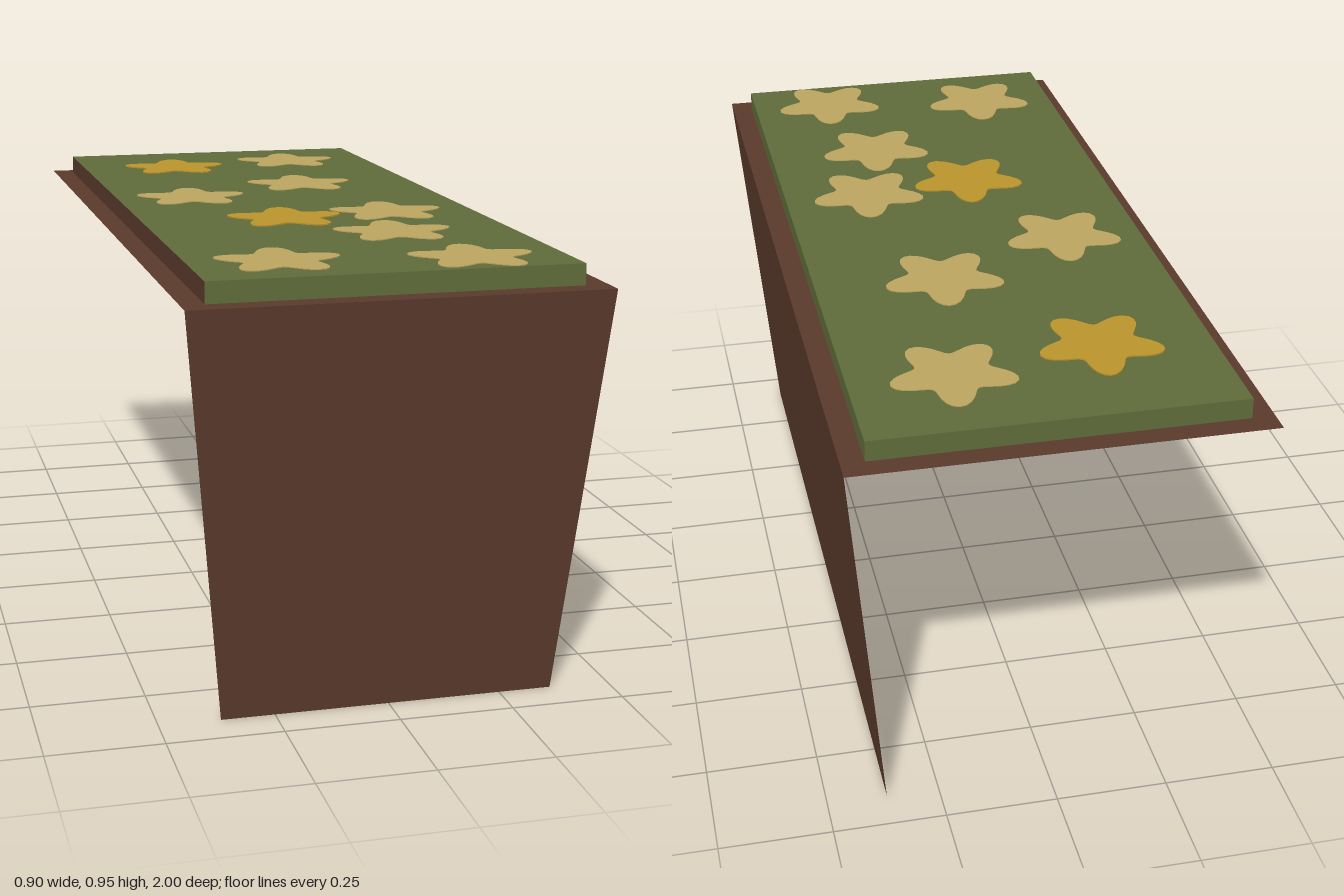
import * as THREE from 'three';

const material = (name, color, side = THREE.FrontSide) => {
  const m = new THREE.MeshStandardMaterial({ color, side });
  m.name = name;
  return m;
};

// Flat four-cornered sheet, corners counter-clockwise seen from outside
function sheet(name, mat, a, b, c, d) {
  const g = new THREE.BufferGeometry();
  g.setAttribute('position', new THREE.Float32BufferAttribute([...a, ...b, ...c, ...d], 3));
  g.setIndex([0, 1, 2, 0, 2, 3]);
  g.computeVertexNormals();
  const mesh = new THREE.Mesh(g, mat);
  mesh.name = name;
  return mesh;
}

// Thin five-petalled blossom, visible on both sides of the hedge top
function blossom(name, mat, x, z, y, half, limitZ) {
  const points = [];
  for (let i = 0; i < 60; i++) {
    const t = (i / 60) * Math.PI * 2;
    const r = 0.111 + 0.029 * Math.cos(5 * (t - 1.466));
    points.push(new THREE.Vector2(x + r * Math.cos(t), Math.max(r * Math.sin(t) - z, -limitZ)));
  }
  const g = new THREE.ExtrudeGeometry(new THREE.Shape(points), { depth: half * 2, bevelEnabled: false });
  g.rotateX(-Math.PI / 2).translate(0, y - half, 0);
  const mesh = new THREE.Mesh(g, mat);
  mesh.name = name;
  return mesh;
}

export function createModel() {
  const wood = material('brown wood', 0x5a3a2c, THREE.DoubleSide);
  const leaf = material('leaf green', 0x5e6b39, THREE.DoubleSide);
  const cream = material('cream petals', 0xbaa460);
  const gold = material('golden petals', 0xb9932c);

  const model = new THREE.Group();
  model.name = 'planter';

  const rimY = 0.9, topY = 0.946;
  const X = 0.45, Z = 1;         // rim outside
  const bx = 0.367, bz = 0.912;  // foot of the tapered walls
  const ix = 0.4, iz = 0.95;     // planting bed

  // Tapered walls: front and one long side, the other two are open
  model.add(
    sheet('frontWall', wood, [-bx, 0, bz], [bx, 0, bz], [X, rimY, Z], [-X, rimY, Z]),
    sheet('leftWall', wood, [bx, 0, bz], [bx, 0, -bz], [X, rimY, -Z], [X, rimY, Z])
  );

  // Flat rim around the bed
  const corners = (x, z, y) => [[-x, y, z], [x, y, z], [x, y, -z], [-x, y, -z]];
  const outer = corners(X, Z, rimY), inner = corners(ix, iz, rimY), top = corners(ix, iz, topY);
  const sides = ['front', 'left', 'back', 'right'];
  sides.forEach((side, i) => {
    const j = (i + 1) % 4;
    model.add(sheet(side + 'Rim', wood, outer[i], outer[j], inner[j], inner[i]));
    // Low edge of the bed, with one long edge in wood
    model.add(sheet(side + 'BedEdge', side === 'right' ? wood : leaf, inner[i], inner[j], top[j], top[i]));
  });
  model.add(sheet('bedTop', leaf, ...top));

  // Blossoms scattered over the bed
  const flowers = new THREE.Group();
  flowers.name = 'blossoms';
  [[0.175, -0.72], [0.105, -0.283], [-0.215, -0.122], [0.195, 0.21],
    [0.13, 0.482], [-0.205, 0.765], [0.2, 0.82]].forEach(([x, z], i) =>
    flowers.add(blossom('creamBlossom' + (i + 1), cream, x, z, topY, 0.002, iz - 0.002)));
  [[-0.157, -0.66], [-0.063, 0.245]].forEach(([x, z], i) =>
    flowers.add(blossom('goldenBlossom' + (i + 1), gold, x, z, topY, 0.003, iz - 0.002)));
  model.add(flowers);

  return model;
}
